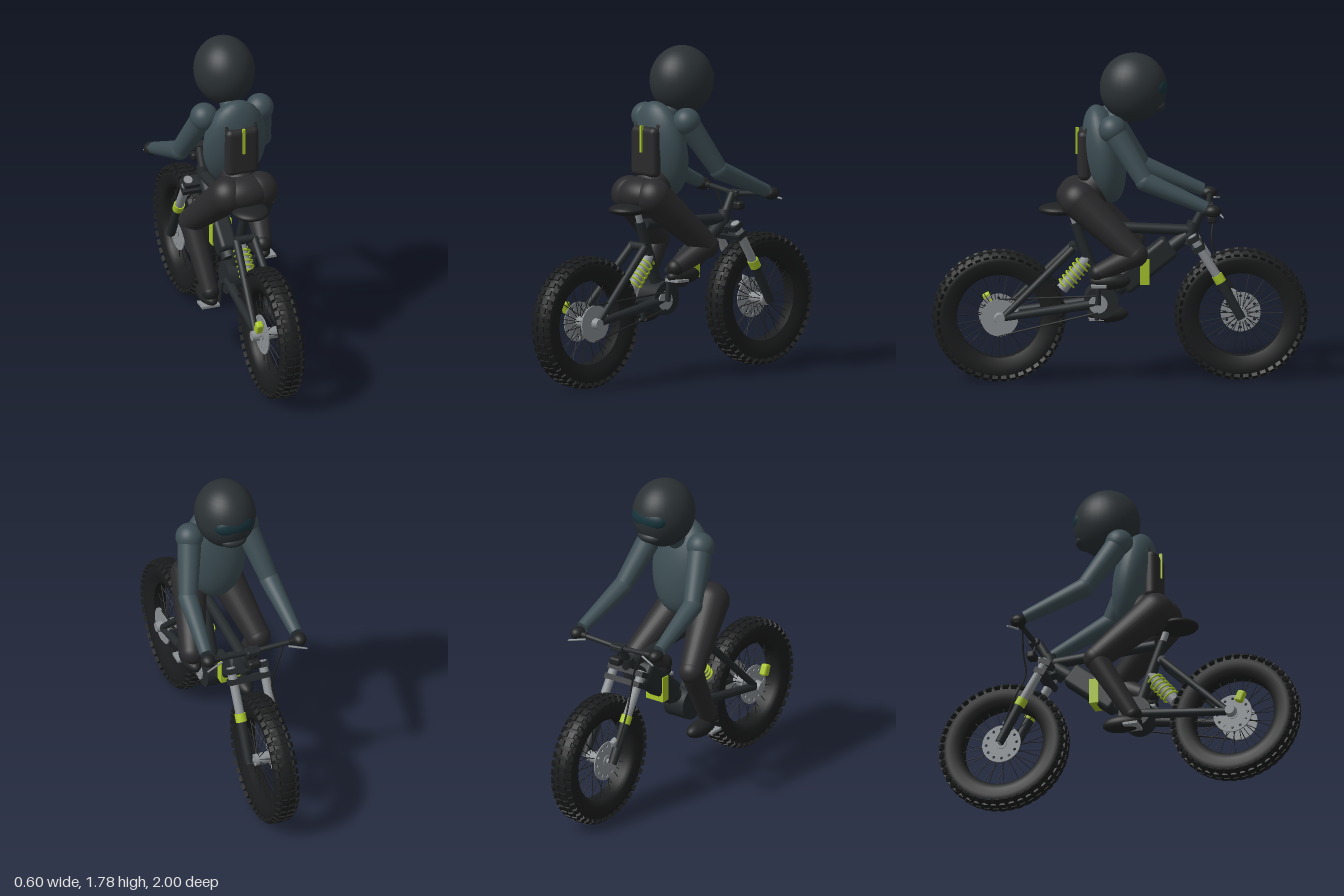
import * as THREE from 'three';
import { mergeGeometries } from 'three/addons/utils/BufferGeometryUtils.js';
import { RoundedBoxGeometry } from 'three/addons/geometries/RoundedBoxGeometry.js';

const mat = (color) => new THREE.MeshStandardMaterial({ color });
const M = {
  tyre: mat(0x1b1c1d), frame: mat(0x24292b), helmet: mat(0x2b3134), jacket: mat(0x3d4e54), pants: mat(0x2a2a2c),
  metal: mat(0x8c9194), lime: mat(0xa9c62c), goggles: mat(0x17333b), boot: mat(0x202122),
};
const V = (p) => new THREE.Vector3(...p);
const UP = new THREE.Vector3(0, 1, 0);

export function createModel() {
  const root = new THREE.Group();
  root.name = 'bikeAndRider';
  let group = root;
  const section = (name) => {
    group = new THREE.Group();
    group.name = name;
    root.add(group);
  };
  const add = (name, geo, m, pos = [0, 0, 0], rot = [0, 0, 0]) => {
    const mesh = new THREE.Mesh(geo, m);
    mesh.name = name;
    mesh.position.set(...pos);
    mesh.rotation.set(...rot);
    group.add(mesh);
    return mesh;
  };
  // Tapered rod between two points
  const rod = (name, a, b, r1, r2, m, seg = 20) => {
    const d = V(b).sub(V(a));
    const mid = V(a).addScaledVector(d, 0.5);
    const mesh = add(name, new THREE.CylinderGeometry(r2, r1, d.length(), seg), m, mid.toArray());
    mesh.quaternion.setFromUnitVectors(UP, d.normalize());
    return mesh;
  };
  const ball = (name, pos, size, m, rot) => {
    const s = Array.isArray(size) ? size : [size, size, size];
    const mesh = add(name, new THREE.SphereGeometry(1, 32, 20), m, pos, rot);
    mesh.scale.set(...s);
    return mesh;
  };
  const box = (name, size, pos, m, rot) => add(name, new THREE.BoxGeometry(...size), m, pos, rot);
  const softBox = (name, size, r, pos, m, rot) => add(name, new RoundedBoxGeometry(...size, 3, r), m, pos, rot);
  const wire = (name, pts, r, m) =>
    add(name, new THREE.TubeGeometry(new THREE.CatmullRomCurve3(pts.map(V)), 24, r, 6), m);

  // Wheels: tyre, knobs, spokes, hub and brake disc
  const profile = [[0.225, -0.034], [0.26, -0.05], [0.3, -0.057], [0.33, -0.052], [0.345, -0.032], [0.349, 0],
    [0.345, 0.032], [0.33, 0.052], [0.3, 0.057], [0.26, 0.05], [0.225, 0.034], [0.225, -0.034]]
    .map(([r, y]) => new THREE.Vector2(r, y));
  const knobs = [];
  const knob = (angle, x, r, w, h, d, tilt) => knobs.push(new THREE.BoxGeometry(w, h, d)
    .rotateZ(tilt).translate(x, r, 0).rotateX(angle));
  const n = 44;
  for (let i = 0; i < n; i++) {
    const a = (i / n) * Math.PI * 2;
    for (const s of [-1, 1]) {
      knob(a, s * 0.02, 0.345, 0.032, 0.019, 0.03, -s * 0.12);
      knob(a + Math.PI / n, s * 0.05, 0.334, 0.026, 0.022, 0.03, -s * 0.7);
    }
  }
  const knobGeo = mergeGeometries(knobs);
  const spokes = [];
  for (let i = 0; i < 32; i++) {
    const a = (i / 32) * Math.PI * 2;
    const s = i % 2 ? 1 : -1;
    spokes.push(new THREE.CylinderGeometry(0.0022, 0.0022, 0.206, 5)
      .rotateZ(s * 0.16).translate(s * 0.023, 0.129, 0).rotateX(a));
  }
  const spokeGeo = mergeGeometries(spokes);
  const discShape = new THREE.Shape().absarc(0, 0, 0.107, 0, Math.PI * 2, false);
  for (let i = 0; i < 12; i++) {
    const a = (i / 12) * Math.PI * 2;
    discShape.holes.push(new THREE.Path().absarc(Math.cos(a) * 0.085, Math.sin(a) * 0.085, 0.008, 0, Math.PI * 2, true));
  }
  const discGeo = new THREE.ExtrudeGeometry(discShape, { depth: 0.006, bevelEnabled: false, curveSegments: 40 })
    .rotateY(Math.PI / 2);
  for (const [name, z] of [['rearWheel', 0.645], ['frontWheel', -0.645]]) {
    section(name);
    group.position.set(0, 0.36, z);
    add('tyre', new THREE.LatheGeometry(profile, 72), M.tyre, [0, 0, 0], [0, 0, Math.PI / 2]);
    add('treadKnobs', knobGeo, M.tyre);
    add('spokes', spokeGeo, M.boot);
    add('brakeDisc', discGeo, M.metal, [-0.055, 0, 0]);
    rod('hub', [-0.06, 0, 0], [0.06, 0, 0], 0.032, 0.032, M.metal);
    rod('axle', [-0.1, 0, 0], [0.1, 0, 0], 0.014, 0.014, M.metal);
  }

  // Frame
  section('frame');
  rod('topTube', [0, 0.845, 0.2], [0, 0.815, -0.37], 0.028, 0.03, M.frame);
  rod('headTube', [0, 0.74, -0.365], [0, 0.86, -0.395], 0.036, 0.036, M.frame);
  rod('seatTube', [0, 0.5, 0.11], [0, 0.86, 0.24], 0.032, 0.026, M.frame);
  rod('seatPost', [0, 0.85, 0.235], [0, 0.92, 0.26], 0.018, 0.018, M.metal);
  rod('downTube', [0, 0.5, 0.02], [0, 0.79, -0.36], 0.045, 0.035, M.frame);
  softBox('batteryPack', [0.1, 0.13, 0.34], 0.025, [0, 0.63, -0.14], M.frame, [0.68, 0, 0]);
  box('batteryPanel', [0.112, 0.14, 0.05], [0, 0.6, -0.13], M.lime);
  rod('motor', [-0.065, 0.44, 0.1], [0.065, 0.44, 0.1], 0.09, 0.09, M.frame, 32);
  ball('saddle', [0, 0.935, 0.325], [0.1, 0.032, 0.11], M.boot);
  ball('saddleNose', [0, 0.935, 0.22], [0.045, 0.025, 0.1], M.boot);
  for (const s of [-1, 1]) {
    rod('swingArm', [s * 0.08, 0.36, 0.645], [s * 0.05, 0.43, 0.12], 0.02, 0.028, M.frame);
    rod('swingArmStrut', [s * 0.08, 0.37, 0.62], [s * 0.05, 0.73, 0.25], 0.018, 0.022, M.frame);
    rod('axleCap', [s * 0.075, 0.36, 0.645], [s * 0.112, 0.36, 0.645], 0.032, 0.026, M.metal);
  }
  rod('strutBridge', [-0.06, 0.73, 0.25], [0.06, 0.73, 0.25], 0.022, 0.022, M.frame);
  rod('shockBody', [0, 0.5, 0.31], [0, 0.67, 0.17], 0.032, 0.03, M.metal);
  const spring = [];
  for (let i = 0; i <= 72; i++) {
    const a = (i / 12) * Math.PI * 2;
    spring.push(new THREE.Vector3(Math.cos(a) * 0.042, -0.085 + (i / 72) * 0.17, Math.sin(a) * 0.042));
  }
  add('shockSpring', new THREE.TubeGeometry(new THREE.CatmullRomCurve3(spring), 144, 0.006, 6), M.lime,
    [0, 0.585, 0.24], [-0.69, 0, 0]);
  softBox('rearCaliper', [0.04, 0.065, 0.045], 0.012, [-0.09, 0.435, 0.7], M.lime, [0.4, 0, 0]);

  // Drive train
  section('driveTrain');
  rod('chainRing', [0.07, 0.43, 0.12], [0.078, 0.43, 0.12], 0.05, 0.05, M.metal, 32);
  rod('sprocket', [0.07, 0.36, 0.645], [0.078, 0.36, 0.645], 0.1, 0.1, M.metal, 32);
  rod('chainTop', [0.075, 0.475, 0.12], [0.075, 0.46, 0.65], 0.005, 0.005, M.boot, 6);
  rod('chainBottom', [0.075, 0.385, 0.12], [0.075, 0.262, 0.65], 0.005, 0.005, M.boot, 6);
  for (const [s, y] of [[1, 0.55], [-1, 0.31]]) {
    rod('crank', [s * 0.09, 0.43, 0.12], [s * 0.1, y, 0.12], 0.016, 0.013, M.frame);
    box('pedal', [0.1, 0.014, 0.08], [s * 0.16, y, 0.12], M.metal);
  }

  // Fork and handlebar
  section('frontEnd');
  for (const s of [-1, 1]) {
    const x = s * 0.09;
    rod('forkUpper', [x, 0.8, -0.38], [x, 0.57, -0.522], 0.024, 0.024, M.metal);
    rod('forkCollar', [x, 0.588, -0.512], [x, 0.548, -0.536], 0.03, 0.03, M.lime);
    rod('forkLower', [x, 0.56, -0.528], [x, 0.35, -0.645], 0.028, 0.024, M.frame);
    rod('grip', [s * 0.2, 0.962, -0.485], [s * 0.295, 0.966, -0.485], 0.018, 0.018, M.boot);
    rod('brakeLever', [s * 0.19, 0.955, -0.51], [s * 0.285, 0.935, -0.54], 0.006, 0.005, M.metal, 8);
    rod('barRiser', [s * 0.03, 0.945, -0.47], [s * 0.2, 0.962, -0.485], 0.014, 0.014, M.frame);
  }
  for (const [y, z] of [[0.78, -0.385], [0.73, -0.415]]) box('forkClamp', [0.23, 0.03, 0.065], [0, y, z], M.frame, [0.5, 0, 0]);
  rod('stem', [0, 0.8, -0.375], [0, 0.945, -0.45], 0.026, 0.022, M.frame);
  softBox('barClamp', [0.08, 0.035, 0.06], 0.01, [0, 0.945, -0.47], M.frame);
  softBox('headlight', [0.07, 0.045, 0.05], 0.015, [0, 0.875, -0.49], M.boot);
  rod('headlightBracket', [0, 0.94, -0.47], [0, 0.88, -0.485], 0.008, 0.008, M.boot, 8);
  wire('brakeHose', [[-0.17, 0.955, -0.49], [-0.13, 0.85, -0.5], [-0.1, 0.72, -0.495], [-0.11, 0.6, -0.55], [-0.1, 0.44, -0.62]], 0.005, M.boot);
  softBox('frontCaliper', [0.035, 0.06, 0.045], 0.01, [-0.075, 0.45, -0.6], M.metal, [-0.4, 0, 0]);

  // Rider: torso and backpack
  section('riderBody');
  ball('torso', [0, 1.235, 0.085], [0.175, 0.268, 0.108], M.jacket, [0.19, 0, 0]);
  ball('pelvis', [0, 1.005, 0.225], [0.16, 0.095, 0.115], M.pants);
  rod('waist', [0, 1.0, 0.19], [0, 1.1, 0.09], 0.1, 0.1, M.pants);
  rod('neck', [0, 1.36, 0.08], [0, 1.48, -0.02], 0.06, 0.055, M.jacket);
  softBox('backpack', [0.185, 0.27, 0.07], 0.03, [0, 1.235, 0.192], M.pants);
  for (const s of [-1, 1]) {
    rod('packStrap', [s * 0.075, 1.28, 0.2], [s * 0.08, 1.385, 0.178], 0.014, 0.01, M.pants, 10);
  }
  box('packStripe', [0.013, 0.145, 0.016], [0, 1.305, 0.228], M.lime);

  // Rider: helmet, goggles and chin guard
  section('riderHead');
  ball('helmet', [0, 1.593, -0.072], [0.163, 0.186, 0.18], M.helmet);
  ball('goggleLens', [0, 1.6, -0.195], [0.112, 0.068, 0.058], M.goggles);
  ball('chinGuard', [0, 1.495, -0.195], [0.072, 0.034, 0.048], M.helmet);

  // Rider: arms
  section('riderArms');
  for (const s of [-1, 1]) {
    const shoulder = [s * 0.158, 1.395, 0.045], elbow = [s * 0.232, 1.125, -0.125], wrist = [s * 0.258, 0.985, -0.45];
    ball('shoulder', shoulder, 0.075, M.jacket);
    rod('upperArm', shoulder, elbow, 0.066, 0.05, M.jacket, 28);
    ball('elbow', elbow, 0.053, M.jacket);
    rod('forearm', elbow, wrist, 0.053, 0.034, M.jacket, 28);
    ball('glove', [s * 0.262, 0.967, -0.485], [0.038, 0.034, 0.045], M.boot);
  }

  // Rider: legs, right side raised and left side lowered
  section('riderLegs');
  for (const [s, drop] of [[1, 0], [-1, 0.235]]) {
    const hip = [s * 0.09, 1.0, 0.225], knee = [s * 0.188, 0.72, -0.075], ankle = [s * 0.15, 0.615 - drop, 0.12];
    ball('hip', hip, 0.1, M.pants);
    rod('thigh', hip, knee, 0.1, 0.066, M.pants, 28);
    ball('knee', knee, 0.067, M.pants);
    rod('shin', knee, ankle, 0.064, 0.046, M.pants, 28);
    ball('ankle', ankle, 0.048, M.boot);
    ball('boot', [s * 0.148, 0.57 - drop, 0.06], [0.05, 0.046, 0.11], M.boot);
  }
  return root;
}
